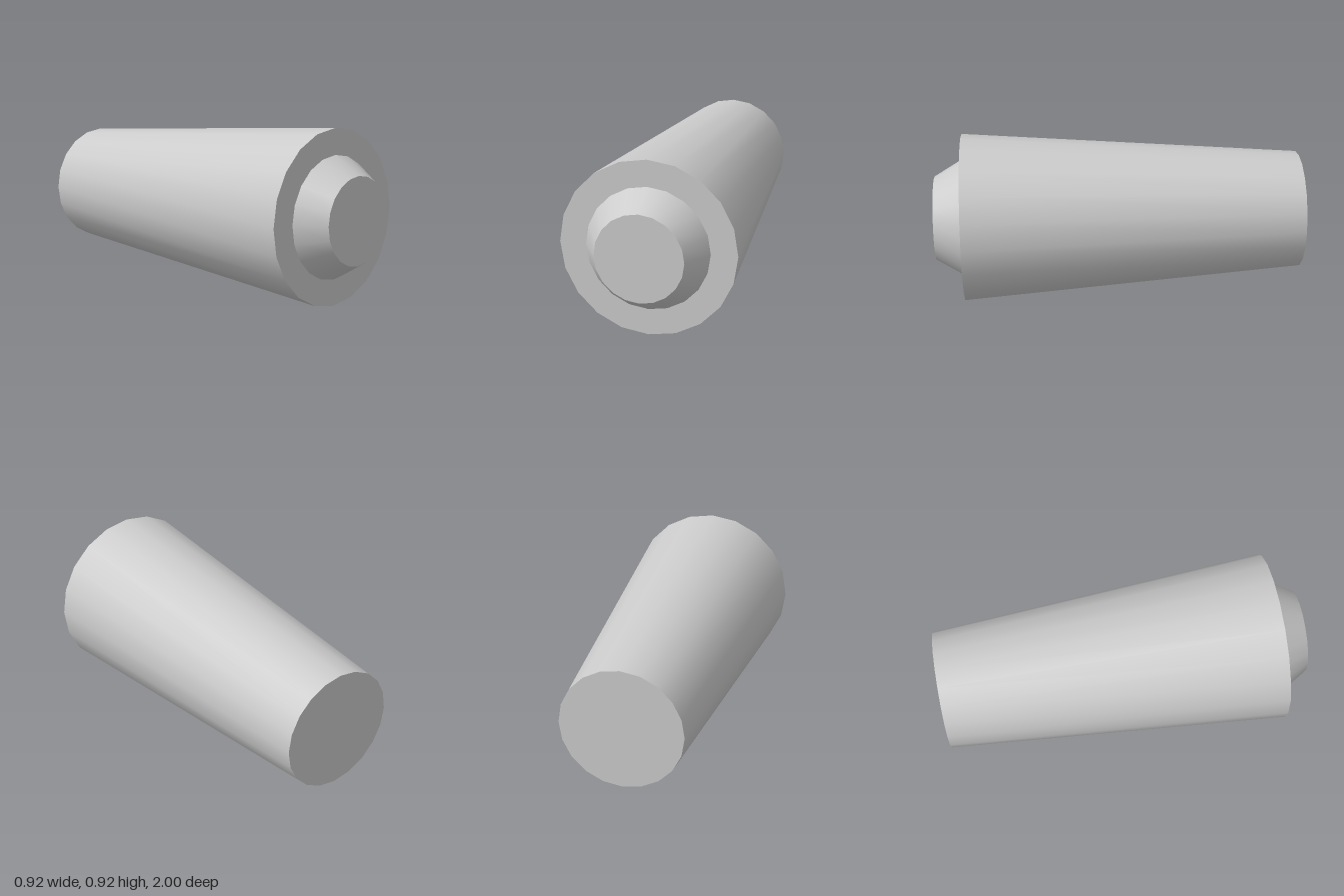
import * as THREE from 'three';

const SIDES = 20;
const AXIS_Y = 0.462;
const material = new THREE.MeshStandardMaterial({ color: 0xcccccc });

// Closed cone section along z, from the back end to the front end
function taper(name, backRadius, frontRadius, backZ, frontZ) {
  const geometry = new THREE.CylinderGeometry(frontRadius, backRadius, frontZ - backZ, SIDES);
  geometry.rotateX(Math.PI / 2);
  const mesh = new THREE.Mesh(geometry, material);
  mesh.name = name;
  mesh.position.set(0, AXIS_Y, (backZ + frontZ) / 2);
  return mesh;
}

export function createModel() {
  const group = new THREE.Group();
  group.name = 'taperedPlug';
  // Long body, widening towards the front
  group.add(taper('body', 0.322, 0.46, -1, 0.846));
  // Short bevelled nose on the front face
  group.add(taper('nose', 0.322, 0.23, 0.846, 1));
  return group;
}
